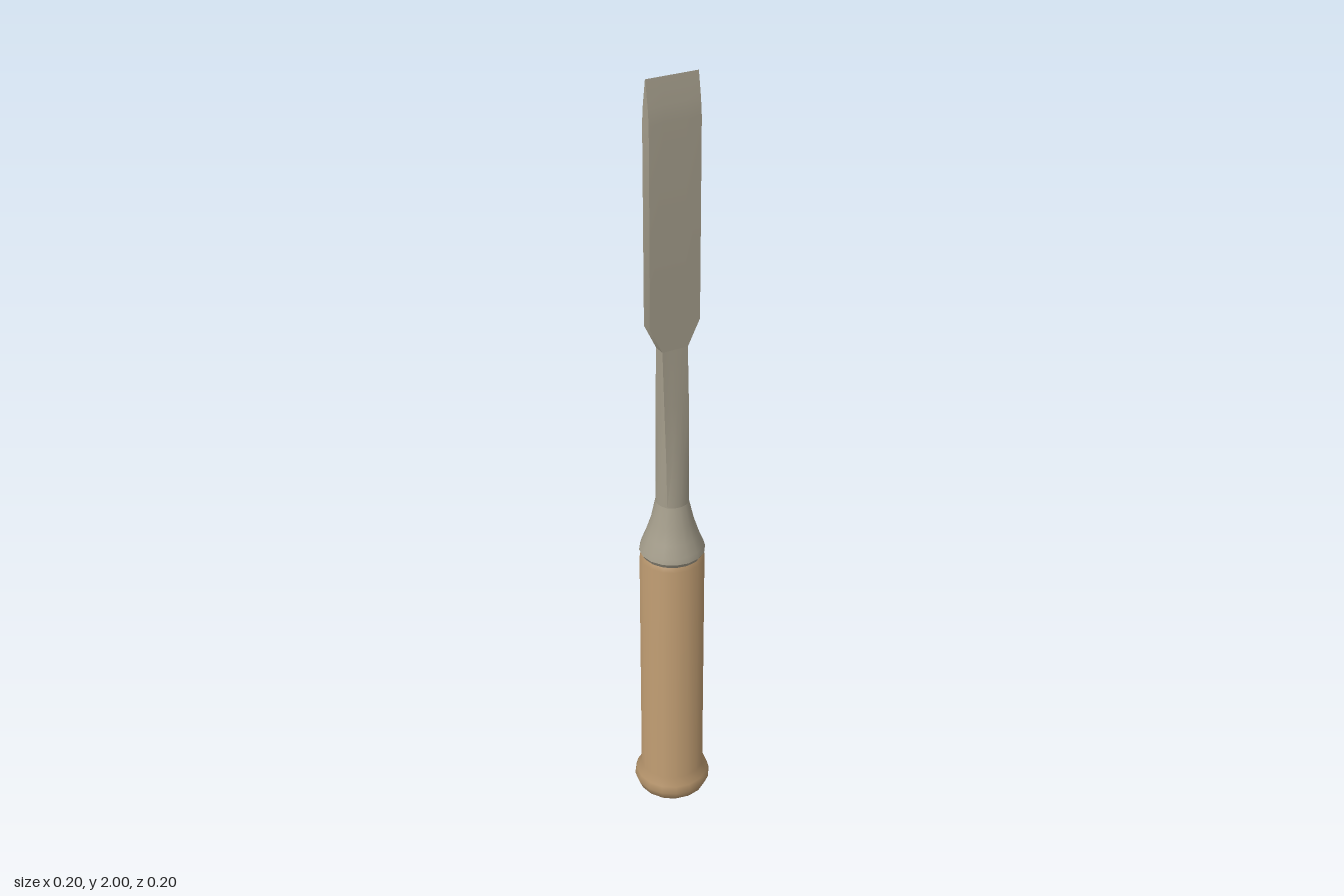
import * as THREE from 'three';
import { toCreasedNormals } from 'three/addons/utils/BufferGeometryUtils.js';

const SIDES = 16;

// Loft through sections [y, half width, half depth, squareness 0..1], capped at the bottom
function loft(sections) {
  const pos = [], idx = [];
  for (const [y, w, d, sq] of sections) {
    for (let i = 0; i < SIDES; i++) {
      const a = (i / SIDES) * Math.PI * 2;
      const c = Math.cos(a), s = Math.sin(a);
      const k = THREE.MathUtils.lerp(1, 1 / Math.max(Math.abs(c), Math.abs(s)), sq);
      pos.push(c * k * w, y, s * k * d);
    }
  }
  for (let j = 0; j < sections.length - 1; j++) {
    for (let i = 0; i < SIDES; i++) {
      const n = (i + 1) % SIDES;
      const a = j * SIDES + i, b = j * SIDES + n;
      idx.push(a, a + SIDES, b, b, a + SIDES, b + SIDES);
    }
  }
  const centre = pos.length / 3;
  pos.push(0, sections[0][0], 0);
  for (let i = 0; i < SIDES; i++) idx.push(centre, i, (i + 1) % SIDES);
  const g = new THREE.BufferGeometry();
  g.setAttribute('position', new THREE.Float32BufferAttribute(pos, 3));
  g.setIndex(idx);
  return toCreasedNormals(g, 0.75);
}

export function createModel() {
  const wood = new THREE.MeshStandardMaterial({ color: 0xb3926a });
  wood.name = 'wood';
  const steel = new THREE.MeshStandardMaterial({ color: 0xa49d8b });
  steel.name = 'steel';

  const group = new THREE.Group();
  group.name = 'chisel';
  const add = (name, geometry, material) => {
    const mesh = new THREE.Mesh(geometry, material);
    mesh.name = name;
    group.add(mesh);
  };

  // Turned handle with a rounded pommel and a chamfered upper end
  const profile = [
    [0, 0], [0.035, 0.007], [0.068, 0.02], [0.09, 0.04], [0.1, 0.064],
    [0.095, 0.083], [0.082, 0.105], [0.082, 0.762], [0.074, 0.775], [0, 0.775],
  ].map(([r, y]) => new THREE.Vector2(r, y));
  add('handle', toCreasedNormals(new THREE.LatheGeometry(profile, SIDES), 0.75), wood);

  // Flared bolster narrowing into the round shank
  add('bolster', loft([
    [0.772, 0.075, 0.075, 0], [0.785, 0.083, 0.083, 0], [0.8, 0.079, 0.079, 0],
    [0.83, 0.067, 0.067, 0], [0.87, 0.054, 0.054, 0], [0.925, 0.041, 0.041, 0.1],
  ]), steel);

  // Shank flattening from round to rectangular
  add('shank', loft([
    [0.925, 0.041, 0.041, 0.1], [1.06, 0.038, 0.033, 0.4],
    [1.2, 0.036, 0.024, 0.75], [1.345, 0.034, 0.015, 1],
  ]), steel);

  // Flat blade with shoulders and a two-sided cutting bevel
  add('blade', loft([
    [1.345, 0.034, 0.015, 1], [1.41, 0.066, 0.015, 1], [1.9, 0.066, 0.015, 1],
    [1.94, 0.066, 0.011, 1], [2, 0.066, 0.0005, 1],
  ]), steel);

  return group;
}
